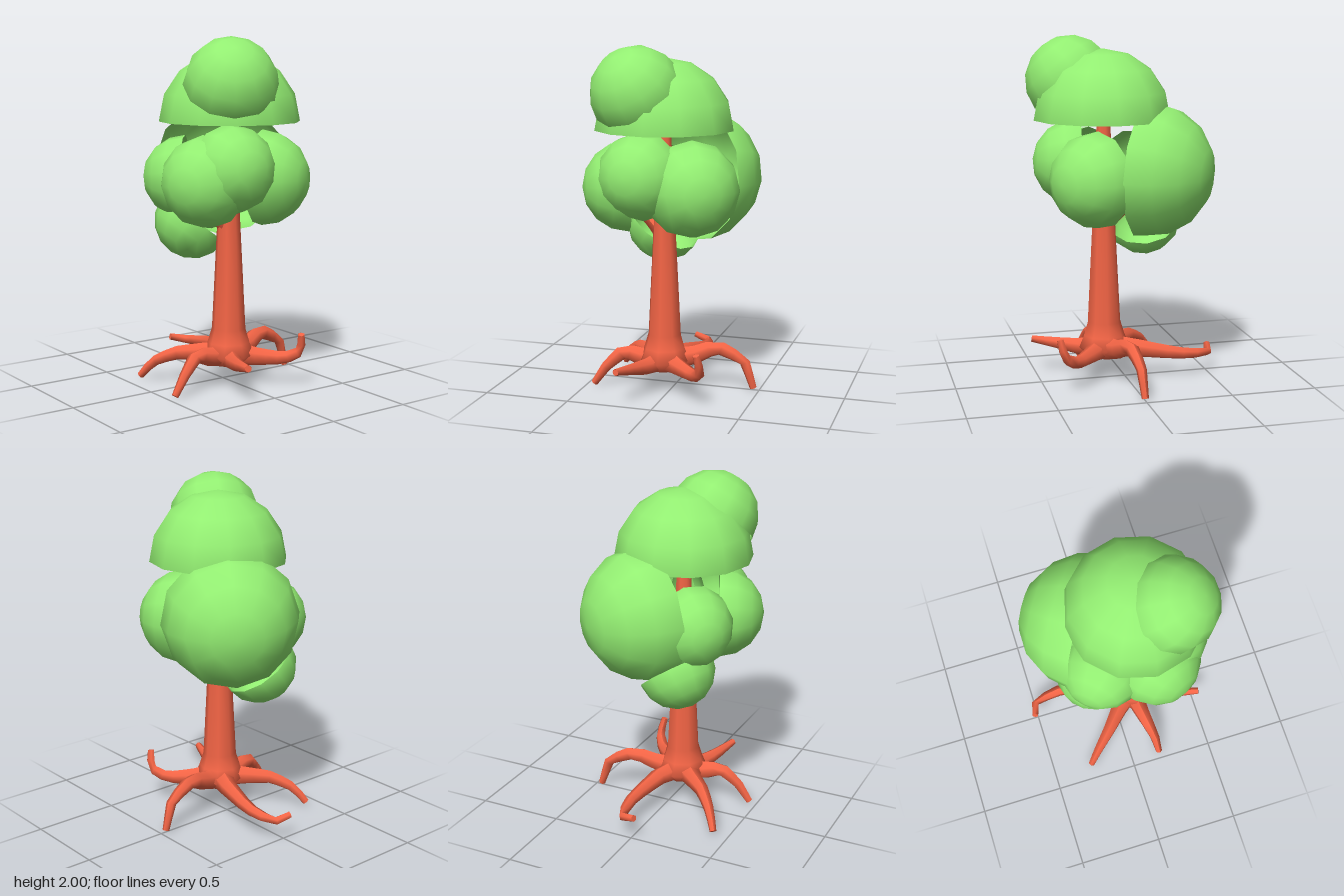
import * as THREE from 'three';

const bark = new THREE.MeshStandardMaterial({ color: 0xf26445, side: THREE.DoubleSide });
const leaf = new THREE.MeshStandardMaterial({ color: 0x93ee72, side: THREE.DoubleSide });

const vec = (p) => new THREE.Vector3(...p);

// Tapered, bent limb with a flat cap at its tip
function limb(name, points, r0, r1) {
  const group = new THREE.Group();
  group.name = name;
  const curve = new THREE.CatmullRomCurve3(points.map(vec), false, 'catmullrom', 0.1);
  const sides = 6;
  const segs = (points.length - 1) * 2;
  const geo = new THREE.TubeGeometry(curve, segs, r0, sides);
  const pos = geo.attributes.position;
  const v = new THREE.Vector3();
  for (let i = 0; i <= segs; i++) {
    const t = i / segs;
    const centre = curve.getPointAt(t);
    const scale = 1 + (r1 / r0 - 1) * Math.pow(t, 0.6);
    for (let j = 0; j <= sides; j++) {
      const k = i * (sides + 1) + j;
      v.fromBufferAttribute(pos, k).sub(centre).multiplyScalar(scale).add(centre);
      pos.setXYZ(k, v.x, v.y, v.z);
    }
  }
  geo.computeVertexNormals();
  const cap = new THREE.Mesh(new THREE.CircleGeometry(r1, sides), bark);
  cap.name = name + 'Tip';
  cap.position.copy(curve.getPointAt(1));
  cap.quaternion.setFromUnitVectors(new THREE.Vector3(0, 0, 1), curve.getTangentAt(1));
  const tube = new THREE.Mesh(geo, bark);
  tube.name = name + 'Body';
  group.add(tube, cap);
  return group;
}

// Open half-sphere of leaves whose pole points along the axis
function foliage(name, centre, radius, axis) {
  const geo = new THREE.SphereGeometry(radius, 12, 4, 0, Math.PI * 2, 0, Math.PI / 2);
  const mesh = new THREE.Mesh(geo, leaf);
  mesh.name = name;
  mesh.position.set(...centre);
  mesh.quaternion.setFromUnitVectors(new THREE.Vector3(0, 1, 0), vec(axis).normalize());
  return mesh;
}

export function createModel() {
  const tree = new THREE.Group();
  tree.name = 'tree';

  // Trunk with flared foot
  const profile = [[0, 0.125], [0.09, 0.13], [0.15, 0.19], [0.122, 0.26], [0.098, 0.34], [0.067, 0.95], [0.038, 1.56]];
  const trunk = new THREE.Mesh(
    new THREE.LatheGeometry(profile.map(([x, y]) => new THREE.Vector2(x, y)), 8), bark);
  trunk.name = 'trunk';
  trunk.position.set(-0.04, 0, 0.115);
  tree.add(trunk);

  // Roots spreading over the ground
  const roots = {
    rootLeft: [[-0.02, 0.19, 0.1], [0.1, 0.2, 0.08], [0.25, 0.26, 0.03], [0.41, 0.185, 0.01], [0.465, 0.02, 0]],
    rootFrontLeft: [[-0.02, 0.19, 0.13], [0.08, 0.175, 0.22], [0.2, 0.17, 0.33], [0.26, 0.22, 0.41], [0.24, 0.325, 0.435]],
    rootBack: [[-0.03, 0.19, 0.1], [0.04, 0.185, -0.06], [0.09, 0.15, -0.3], [0.07, 0.13, -0.49], [-0.03, 0.155, -0.52]],
    rootBackRight: [[-0.06, 0.19, 0.1], [-0.16, 0.19, 0], [-0.27, 0.18, -0.1], [-0.36, 0.12, -0.2], [-0.41, 0.03, -0.26]],
    rootRight: [[-0.06, 0.19, 0.12], [-0.17, 0.19, 0.13], [-0.28, 0.22, 0.14], [-0.38, 0.13, 0.17], [-0.455, 0.02, 0.18]],
    rootFront: [[-0.05, 0.19, 0.13], [-0.1, 0.175, 0.24], [-0.15, 0.19, 0.36], [-0.2, 0.215, 0.52]],
  };
  for (const [name, pts] of Object.entries(roots)) tree.add(limb(name, pts, 0.08, 0.02));

  // Short branches under the crown
  tree.add(
    limb('branchRight', [[-0.05, 0.94, 0.11], [-0.12, 1.01, 0.1], [-0.2, 1.07, 0.09]], 0.055, 0.04),
    limb('branchBack', [[-0.03, 0.94, 0.1], [0.02, 1.01, 0.04], [0.07, 1.08, -0.03]], 0.055, 0.04));

  // Leaf clumps
  tree.add(
    foliage('foliageTop', [-0.145, 1.745, 0.28], 0.265, [-0.3, 0.75, 0.55]),
    foliage('foliageDome', [-0.037, 1.535, 0.12], 0.4, [0, 1, 0]),
    foliage('foliageBackLeft', [0.07, 1.25, -0.11], 0.395, [0.56, -0.05, -0.83]),
    foliage('foliageFrontLeft', [0.14, 1.21, 0.19], 0.275, [0.5, 0, 0.85]),
    foliage('foliageFront', [-0.13, 1.28, 0.26], 0.25, [-0.1, 0.1, 1]),
    foliage('foliageRight', [-0.235, 1.21, 0.18], 0.26, [-0.9, 0, 0.4]),
    foliage('foliageBackRight', [-0.19, 1.21, -0.11], 0.24, [-0.75, 0, -0.65]),
    foliage('foliageLow', [-0.115, 0.945, -0.14], 0.225, [-0.55, -0.8, -0.2]));

  return tree;
}
